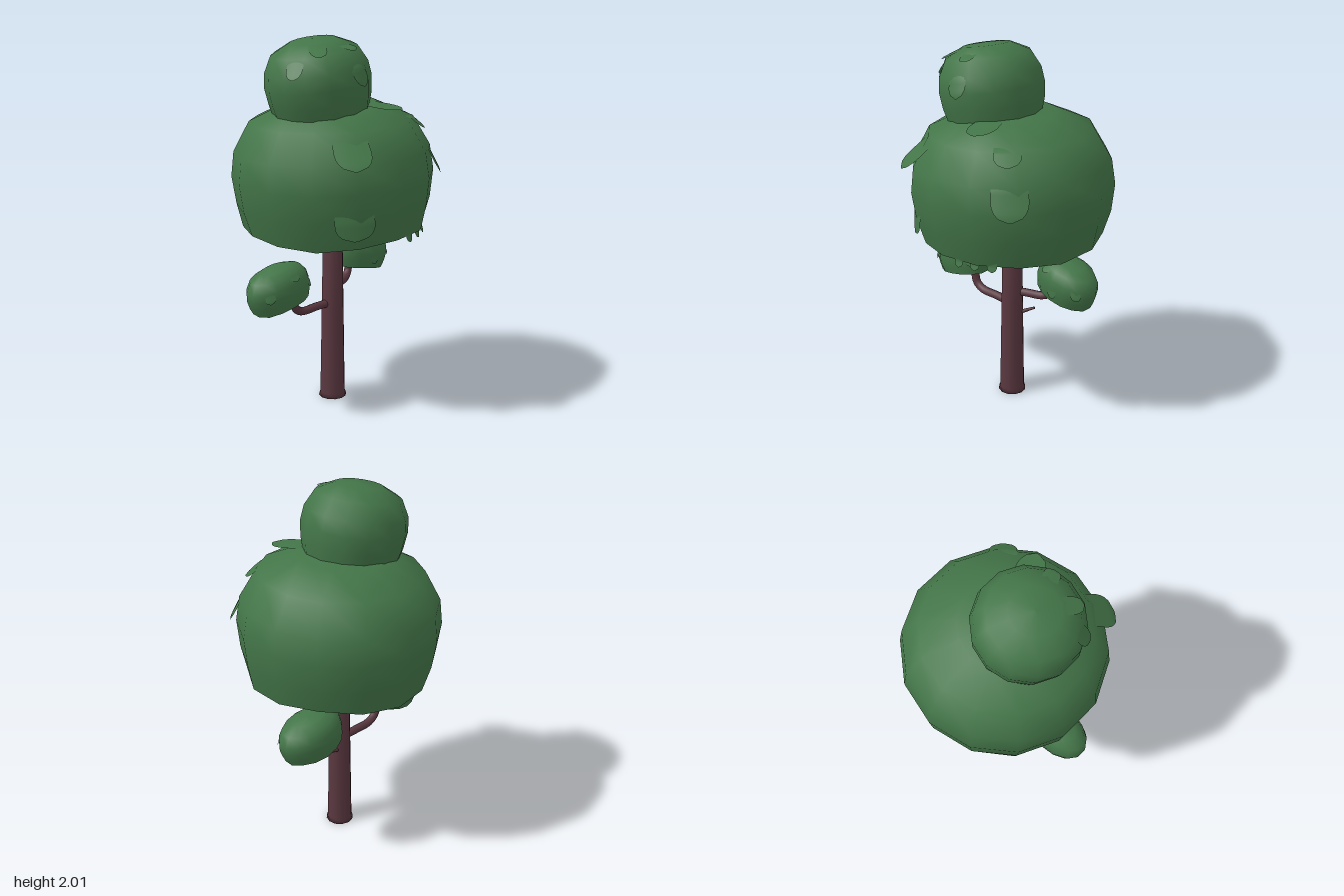
import * as THREE from 'three';

const leafMat = new THREE.MeshStandardMaterial({ color: 0x437548 });
const flapMat = new THREE.MeshStandardMaterial({ color: 0x437548, side: THREE.DoubleSide });
const barkMat = new THREE.MeshStandardMaterial({ color: 0x5a3840 });
const deg = Math.PI / 180;

// Dome profile in unit size: [radius, height], from rim to crown
const PROFILE = [[0.9, 0], [0.965, 0.2], [1, 0.42], [0.965, 0.62], [0.8, 0.85], [0.44, 0.98], [0, 1.005]];

function radiusAt(v) {
  if (v <= 0) return PROFILE[0][0];
  for (let i = 1; i < PROFILE.length; i++) {
    const [r0, v0] = PROFILE[i - 1], [r1, v1] = PROFILE[i];
    if (v <= v1) return r0 + (r1 - r0) * (v - v0) / (v1 - v0);
  }
  return 0;
}

function lathe(points, sides) {
  return new THREE.LatheGeometry(points.map(p => new THREE.Vector2(p[0], p[1])), sides);
}

// Uneven lower rim, shared by dome and underside
function raggedRim(geo) {
  const p = geo.attributes.position;
  for (let i = 0; i < p.count; i++) {
    const x = p.getX(i), z = p.getZ(i);
    if (p.getY(i) > 0.01 || Math.hypot(x, z) < 0.85) continue;
    const a = Math.atan2(x, z), k = 1 + 0.015 * Math.sin(5 * a);
    p.setXYZ(i, x * k, 0.015 * Math.sin(3 * a + 1), z * k);
  }
  return geo;
}

// Tongue-shaped leaf flap hugging the dome; its rounded tip points down and lifts off
function flapGeometry([angle, root, tip, halfWidth, lift]) {
  const geo = new THREE.PlaneGeometry(2, 1, 6, 8), p = geo.attributes.position;
  for (let i = 0; i < p.count; i++) {
    const s = 0.5 - p.getY(i); // 0 at root, 1 at tip
    const width = halfWidth * Math.sqrt(Math.max(0.01, 1 - Math.max(0, (s - 0.4) / 0.6) ** 2));
    const v = root + (tip - root) * s;
    const base = radiusAt(v), r = base - 0.03 + (lift + 0.03) * s;
    const a = angle * deg + p.getX(i) * width / Math.max(base, 0.3);
    p.setXYZ(i, r * Math.sin(a), v + lift * 0.3 * s, r * Math.cos(a));
  }
  geo.computeVertexNormals();
  return geo;
}

function canopy(name, { at, size, tilt, sides, flaps }) {
  const group = new THREE.Group();
  group.name = name;
  const dome = new THREE.Mesh(raggedRim(lathe(PROFILE, sides)), leafMat);
  dome.name = 'dome';
  const under = new THREE.Mesh(raggedRim(lathe([[0, 0.01], [0.5, 0.005], [0.9, 0]], sides)), leafMat);
  under.name = 'underside';
  group.add(dome, under);
  for (const f of flaps) {
    const mesh = new THREE.Mesh(flapGeometry(f), flapMat);
    mesh.name = 'leafFlap';
    group.add(mesh);
  }
  group.position.set(...at);
  group.scale.set(...size);
  group.rotation.z = tilt;
  return group;
}

function branch(name, points, radius) {
  const curve = new THREE.CatmullRomCurve3(points.map(p => new THREE.Vector3(...p)));
  const mesh = new THREE.Mesh(new THREE.TubeGeometry(curve, 16, radius, 8), barkMat);
  mesh.name = name;
  return mesh;
}

export function createModel() {
  const tree = new THREE.Group();
  tree.name = 'tree';

  // Trunk with a small foot flare
  const trunk = new THREE.Mesh(lathe([[0, 0], [0.078, 0], [0.07, 0.025], [0.061, 0.55], [0.053, 1.01], [0, 1.02]], 12), barkMat);
  trunk.name = 'trunk';
  trunk.position.x = 0.025;
  tree.add(trunk);

  // Bent branches
  tree.add(
    branch('lowerRightBranch', [[0.02, 0.555, 0], [-0.1, 0.555, 0.005], [-0.21, 0.557, 0.015], [-0.258, 0.59, 0.02], [-0.27, 0.7, 0.02]], 0.023),
    branch('lowerLeftBranch', [[0.02, 0.635, 0], [0.1, 0.635, -0.04], [0.19, 0.637, -0.085], [0.225, 0.665, -0.1], [0.235, 0.74, -0.105]], 0.023),
    branch('upperRightBranch', [[0.02, 0.91, 0], [-0.06, 0.91, 0.05], [-0.13, 0.912, 0.1], [-0.165, 0.94, 0.115], [-0.17, 1.03, 0.12]], 0.022),
    branch('upperLeftBranch', [[0.02, 0.96, 0], [0.11, 0.96, 0], [0.19, 0.965, 0], [0.225, 0.985, 0], [0.235, 1.04, 0]], 0.02)
  );

  // Broken twig
  const twig = new THREE.Mesh(new THREE.CylinderGeometry(0.007, 0.013, 0.1, 6), barkMat);
  twig.name = 'twig';
  twig.position.set(0.095, 0.522, -0.045);
  twig.quaternion.setFromUnitVectors(new THREE.Vector3(0, 1, 0), new THREE.Vector3(0.75, 0.42, -0.45).normalize());
  tree.add(twig);

  // Foliage; flaps are [angle, root height, tip height, half width, lift]
  tree.add(
    canopy('mainCanopy', {
      at: [0.035, 1.0, 0], size: [0.54, 0.68, 0.54], tilt: 0.04, sides: 14,
      flaps: [
        [-29, 0.28, 0.06, 0.19, 0.06], [-29, 0.8, 0.58, 0.17, 0.1], [47, 0.64, 0.38, 0.17, 0.07],
        [46, 0.88, 0.75, 0.13, 0.04], [22, 0.985, 0.91, 0.13, 0.12],
        [13, 0.04, -0.04, 0.05, 0.0], [24, 0.04, -0.04, 0.05, 0.0], [35, 0.04, -0.04, 0.05, 0.0]
      ]
    }),
    canopy('topCanopy', {
      at: [-0.075, 1.622, 0.03], size: [0.277, 0.38, 0.277], tilt: 0.17, sides: 14,
      flaps: [
        [12, 0.68, 0.36, 0.19, 0.07], [-32, 0.97, 0.84, 0.16, 0.05],
        [-64, 0.84, 0.6, 0.16, 0.07], [20, 0.92, 0.82, 0.15, 0.04]
      ]
    }),
    canopy('lowerRightCanopy', {
      at: [-0.35, 0.64, 0.02], size: [0.19, 0.205, 0.125], tilt: 0.22, sides: 14,
      flaps: [[-40, 0.6, 0.35, 0.16, 0.06], [15, 0.85, 0.65, 0.16, 0.05], [50, 0.5, 0.25, 0.14, 0.05]]
    }),
    canopy('lowerLeftCanopy', {
      at: [0.31, 0.685, -0.125], size: [0.19, 0.205, 0.133], tilt: -0.2, sides: 14,
      flaps: [[-25, 0.85, 0.65, 0.16, 0.05], [50, 0.6, 0.35, 0.17, 0.06], [5, 0.4, 0.12, 0.14, 0.05]]
    })
  );
  return tree;
}
